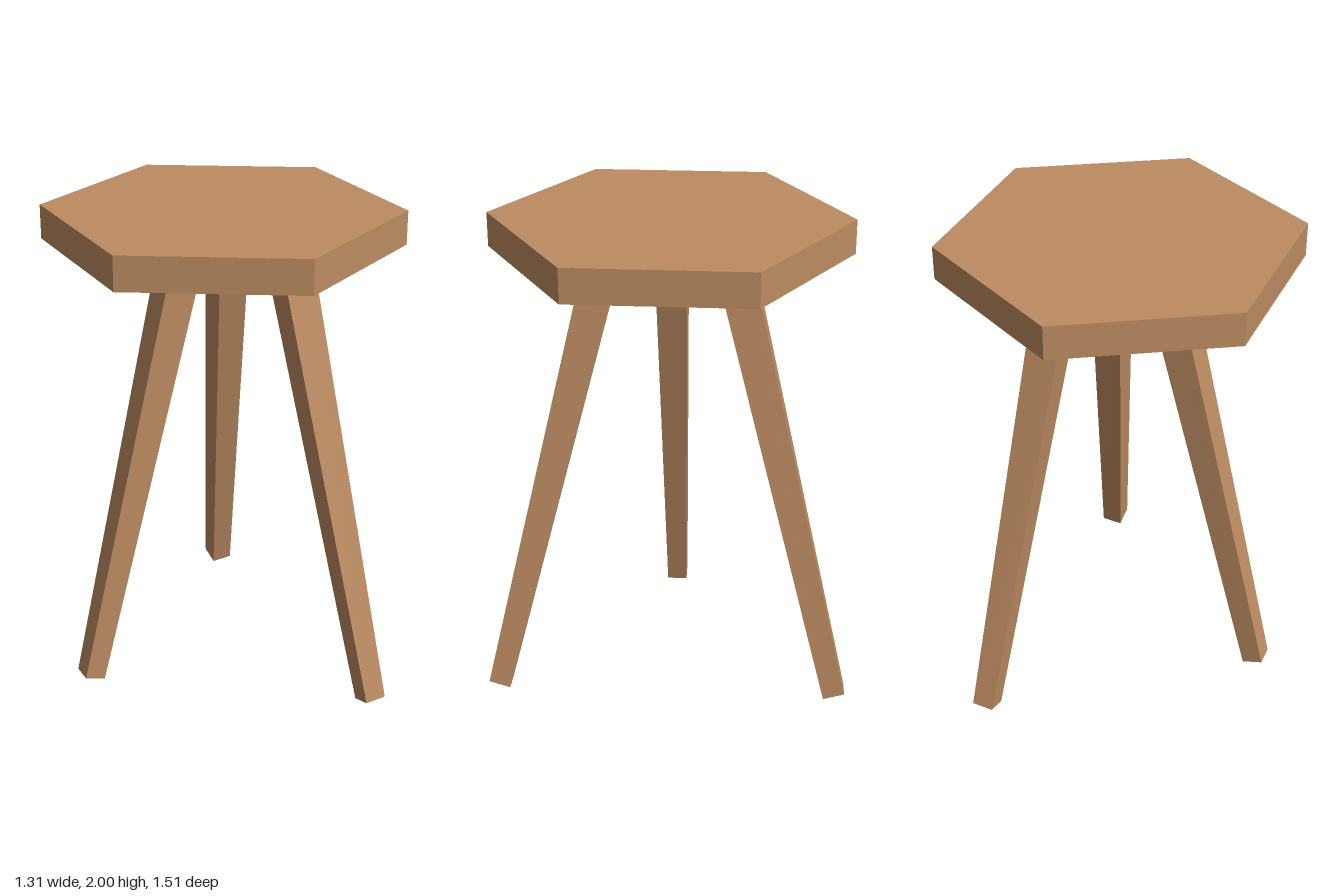
import * as THREE from 'three';

const wood = new THREE.MeshStandardMaterial({ color: 0xbd8c62, flatShading: true });

// Four-sided tapered leg: a box whose corners move to a foot and a top rectangle.
// foot/top = [xMin, xMax, zMin, zMax]; footY(sx, sz) tilts the sole.
function makeLeg(name, foot, top, footY) {
  const geo = new THREE.BoxGeometry(1, 1, 1);
  const p = geo.attributes.position;
  for (let i = 0; i < p.count; i++) {
    const sx = Math.sign(p.getX(i)), sz = Math.sign(p.getZ(i));
    const isTop = p.getY(i) > 0;
    const r = isTop ? top : foot;
    p.setXYZ(i, sx < 0 ? r[0] : r[1], isTop ? 1.862 : footY(sx, sz), sz < 0 ? r[2] : r[3]);
  }
  geo.computeVertexNormals();
  const leg = new THREE.Mesh(geo, wood);
  leg.name = name;
  return leg;
}

export function createModel() {
  const stool = new THREE.Group();
  stool.name = 'stool';

  // Hexagonal seat with corners pointing to front and back
  const seat = new THREE.Mesh(new THREE.CylinderGeometry(0.731, 0.731, 0.14, 6), wood);
  seat.name = 'seat';
  seat.position.set(0.022, 1.93, 0.003);
  stool.add(seat);

  // Single leg on the right
  stool.add(makeLeg('rightLeg',
    [-0.656, -0.57, -0.033, 0.055], [-0.232, -0.09, -0.056, 0.08],
    (sx) => (sx < 0 ? 0.028 : 0.003)));

  // Mirrored pair of legs, splayed to front and back
  for (const [name, s] of [['frontLeg', 1], ['backLeg', -1]]) {
    const zRange = (inner, outer) => (s > 0 ? [inner, outer] : [-outer, -inner]);
    stool.add(makeLeg(name,
      [0.314, 0.403, ...zRange(0.667, 0.755)], [0.108, 0.248, ...zRange(0.185, 0.33)],
      (sx, sz) => (sz === s ? 0.03 : 0.003) + (sx > 0 ? 0.007 : 0)));
  }
  return stool;
}
